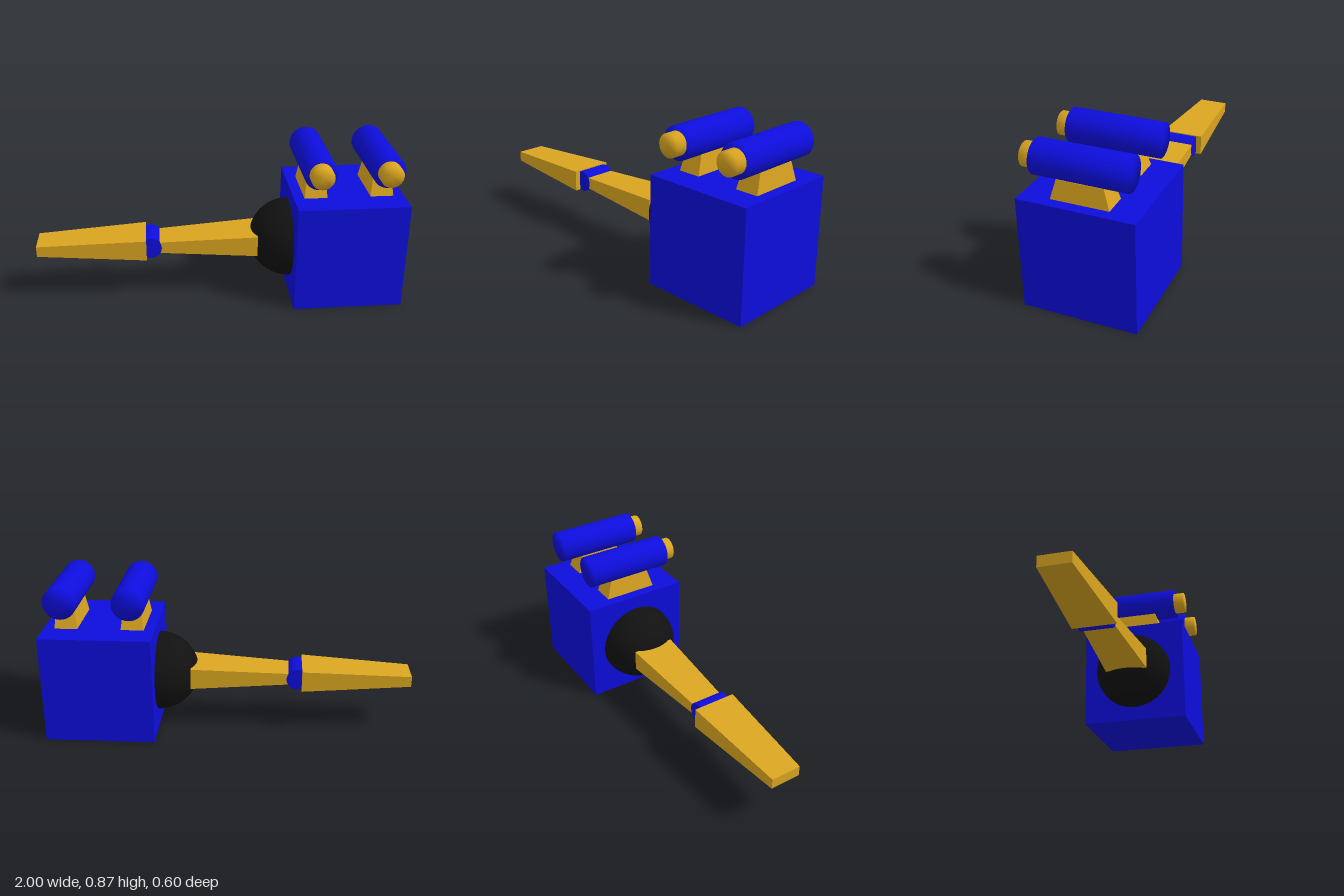
import * as THREE from 'three';
import { mergeVertices } from 'three/addons/utils/BufferGeometryUtils.js';

export function createModel() {
  const group = new THREE.Group();
  const mat = (name, color) => Object.assign(new THREE.MeshStandardMaterial({ color }), { name });
  const blue = mat('blue', 0x0d0ddc);
  const gold = mat('gold', 0xdaa520);
  const black = mat('black', 0x111111);

  const add = (name, geometry, material, x, y, z) => {
    const mesh = new THREE.Mesh(geometry, material);
    mesh.name = name;
    mesh.position.set(x, y, z);
    group.add(mesh);
    return mesh;
  };

  // Box whose +axis and -axis ends differ in size by a scale factor on the - or + end
  const taperedBox = (w, h, d, axis, smallSide, scale) => {
    const g = new THREE.BoxGeometry(w, h, d);
    const p = g.attributes.position;
    const v = new THREE.Vector3();
    for (let i = 0; i < p.count; i++) {
      v.fromBufferAttribute(p, i);
      if (v[axis] * smallSide > 0) {
        for (const a of ['x', 'y', 'z']) if (a !== axis) v[a] *= scale[a];
      }
      p.setXYZ(i, v.x, v.y, v.z);
    }
    g.computeVertexNormals();
    return g;
  };

  // Cylinder along z with shading that flows over the rim onto the caps
  const softCylinder = (radius, length) => {
    let g = new THREE.CylinderGeometry(radius, radius, length, 32);
    g.deleteAttribute('normal');
    g.deleteAttribute('uv');
    g = mergeVertices(g);
    g.computeVertexNormals();
    return g.rotateX(Math.PI / 2);
  };

  // Shoulder block and the dome on its inner side
  add('shoulderBlock', new THREE.BoxGeometry(0.6, 0.6, 0.6), blue, 0.7, 0.3, 0);
  const dome = new THREE.SphereGeometry(0.22, 48, 20, 0, Math.PI * 2, 0, Math.PI / 2);
  add('shoulderDome', dome.rotateZ(Math.PI / 2), black, 0.4, 0.3, 0);

  // Two arm segments joined by an elbow
  const segment = () => taperedBox(0.6, 0.118, 0.24, 'x', -1, { y: 0.5, z: 0.7 });
  add('upperArm', segment(), gold, -0.085, 0.301, 0);
  add('forearm', segment(), gold, -0.7, 0.301, 0);
  const elbow = new THREE.CylinderGeometry(0.06, 0.06, 0.178, 32).rotateX(Math.PI / 2);
  add('elbow', elbow, blue, -0.375, 0.3, 0);

  // Twin barrels on tapered mounts
  for (const x of [0.52, 0.88]) {
    add('barrelMount', taperedBox(0.125, 0.102, 0.3, 'y', 1, { x: 0.8, z: 0.8 }), gold, x, 0.651, 0);
    add('barrel', softCylinder(0.0885, 0.48), blue, x, 0.777, 0);
    add('barrelTip', softCylinder(0.062, 0.1), gold, x, 0.777, 0.25);
  }
  return group;
}
